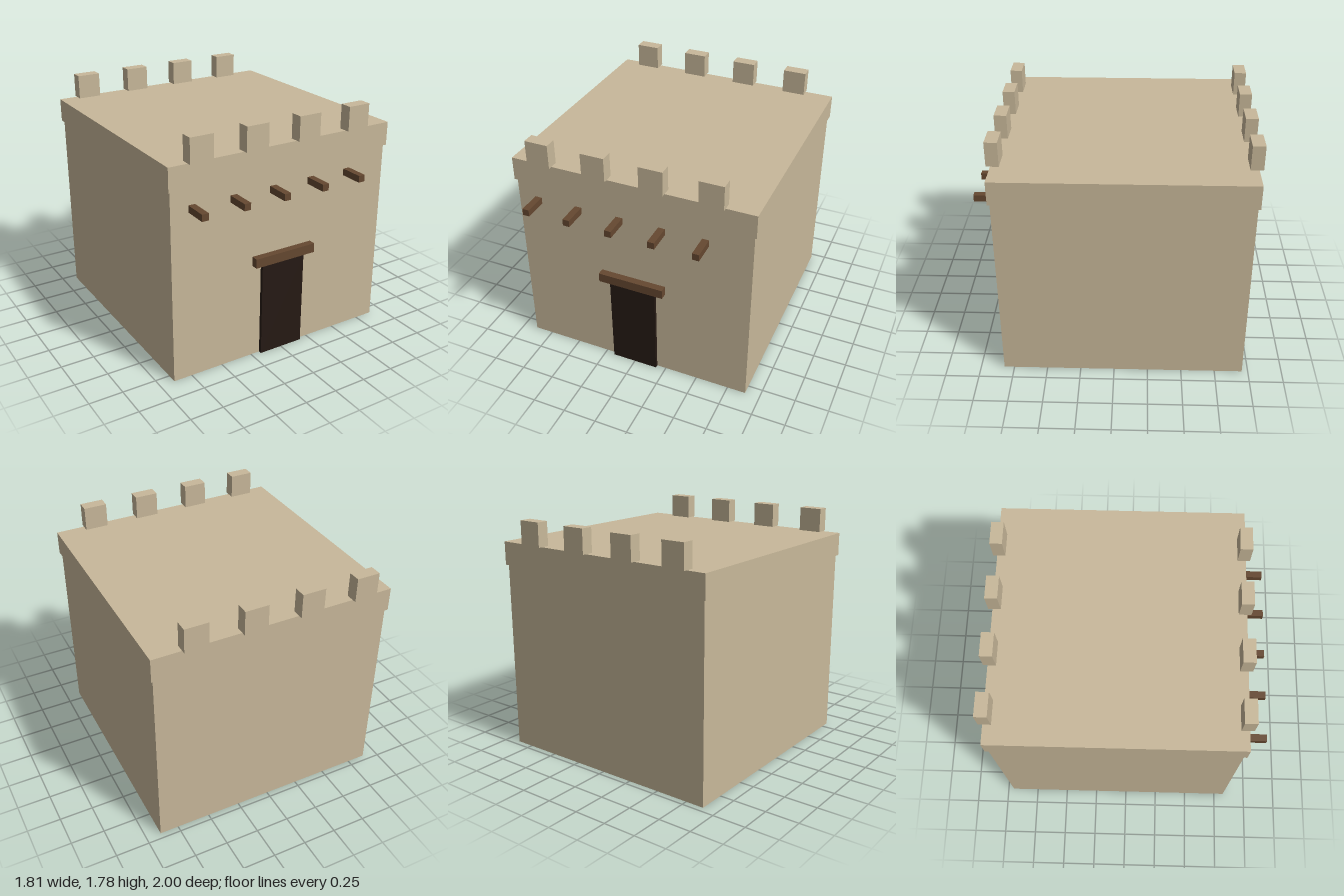
import * as THREE from 'three';

export function createModel() {
  const group = new THREE.Group();
  const adobe = new THREE.MeshStandardMaterial({ color: 0xc8b89a });
  const wood = new THREE.MeshStandardMaterial({ color: 0x654830 });
  const dark = new THREE.MeshStandardMaterial({ color: 0x261a14 });

  // Box given by its extents along each axis
  function box(name, material, [x0, x1], [y0, y1], [z0, z1]) {
    const mesh = new THREE.Mesh(new THREE.BoxGeometry(x1 - x0, y1 - y0, z1 - z0), material);
    mesh.name = name;
    mesh.position.set((x0 + x1) / 2, (y0 + y1) / 2, (z0 + z1) / 2);
    group.add(mesh);
  }
  const span = (centre, size) => [centre - size / 2, centre + size / 2];

  const wallFront = 0.825, wallBack = -0.955;

  // Main block and the slightly wider roof band
  box('walls', adobe, [-0.89, 0.89], [0, 1.425], [wallBack, wallFront]);
  box('parapet', adobe, [-0.905, 0.905], [1.425, 1.6], [-0.97, 0.84]);

  // Battlements along the front and back edges
  for (const [side, z] of [['front', wallFront], ['back', wallBack]]) {
    for (let i = 0; i < 4; i++) {
      box(`${side}Merlon${i + 1}`, adobe, span(-0.675 + i * 0.425, 0.175), [1.6, 1.78], span(z, 0.09));
    }
  }

  // Roof beam ends poking out of the front wall
  for (let i = 0; i < 5; i++) {
    box(`roofBeam${i + 1}`, wood, span(-0.73 + i * 0.32, 0.05), [1.257, 1.307], [0.75, 1]);
  }

  // Doorway with its lintel
  box('door', dark, [-0.178, 0.178], [0, 0.712], [0.8, 0.85]);
  box('lintel', wood, [-0.25, 0.25], [0.732, 0.802], [0.78, 0.878]);

  return group;
}
